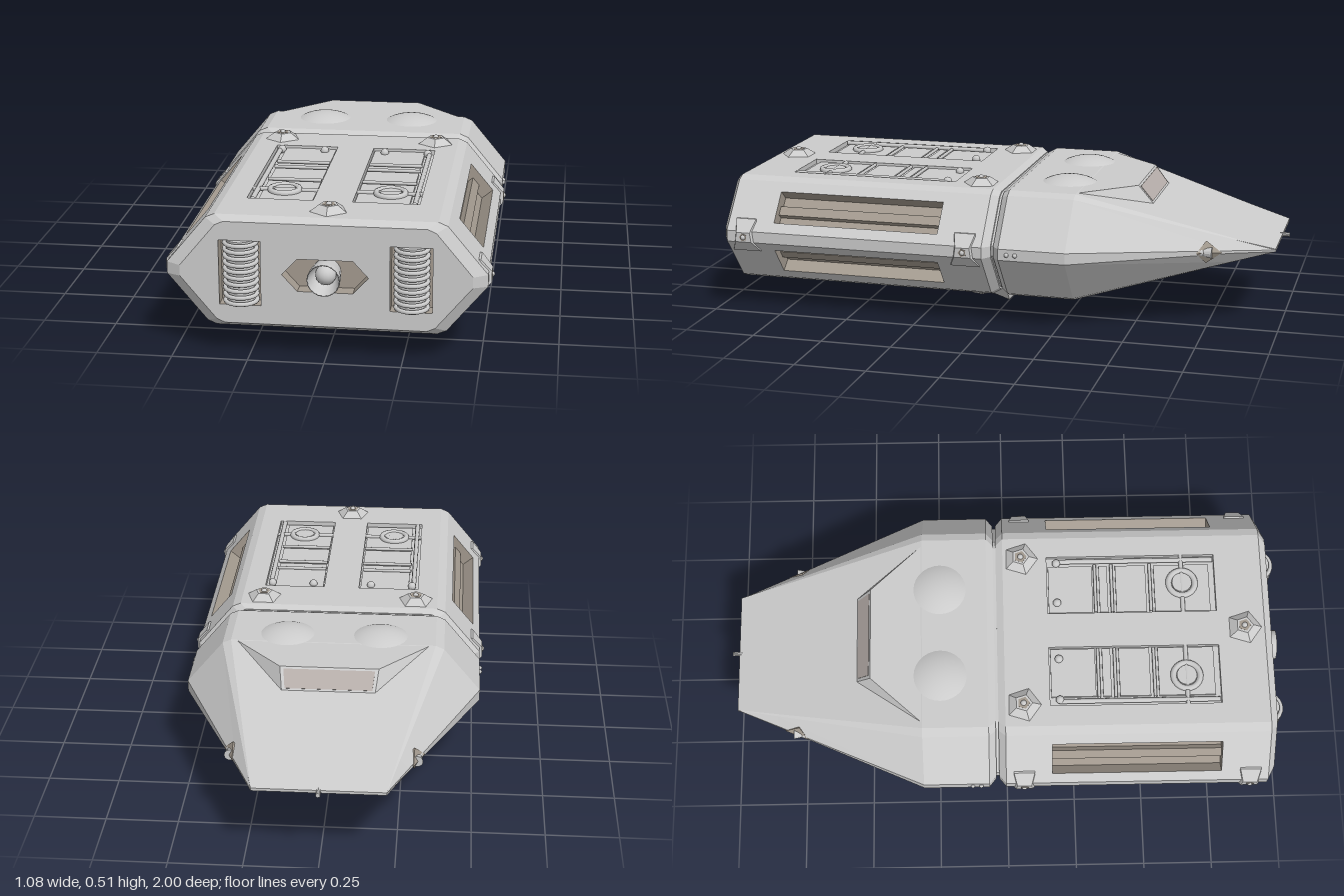
import * as THREE from 'three';
import { ConvexGeometry } from 'three/addons/geometries/ConvexGeometry.js';

const hull = new THREE.MeshStandardMaterial({ color: 0xcccccc, flatShading: true });
const smooth = new THREE.MeshStandardMaterial({ color: 0xcccccc, side: THREE.DoubleSide });
const tan = new THREE.MeshStandardMaterial({ color: 0xa39a8f, flatShading: true });
const glass = new THREE.MeshStandardMaterial({ color: 0xb8b0ac, flatShading: true });
const V = (x, y, z) => new THREE.Vector3(x, y, z);
const MID = 0.285, Z0 = -0.005, Z1 = 0.935;

function add(parent, name, geo, mat, x = 0, y = 0, z = 0) {
  const m = new THREE.Mesh(geo, mat);
  m.name = name;
  m.position.set(x, y, z);
  parent.add(m);
  return m;
}
const box = (p, name, mat, x, y, z, w, h, d) => add(p, name, new THREE.BoxGeometry(w, h, d), mat, x, y, z);

// Group whose local x, y lie on a surface and whose local z points out of it
function frame(parent, name, origin, u, v) {
  const g = new THREE.Group();
  g.name = name;
  u.normalize(); v.normalize();
  g.applyMatrix4(new THREE.Matrix4().makeBasis(u, v, u.clone().cross(v)).setPosition(origin));
  parent.add(g);
  return g;
}

const rect = (x0, x1, y0, y1) => [[x0, y0], [x1, y0], [x1, y1], [x0, y1]];
const toPts = a => a.map(p => new THREE.Vector2(...p));

// Flat plate with openings, its outer face at local z = 0
function plate(parent, name, outline, holes, depth, wall = hull) {
  const s = new THREE.Shape(toPts(outline));
  holes.forEach(h => s.holes.push(new THREE.Path(toPts(h))));
  const geo = new THREE.ExtrudeGeometry(s, { depth, bevelEnabled: false });
  return add(parent, name, geo.translate(0, 0, -depth), [hull, wall]);
}

// Twelve-point hull section: a hexagon with chamfered corners
function section(z, sx = 0.52, tx = 0.38, top = 0.475, bot = 0.095, scale = 1) {
  const k = (top - bot) / 0.38;
  const up = [[sx, MID + 0.02 * k], [tx + 0.01 * k, top - 0.013 * k], [tx - 0.02 * k, top]];
  const low = [[tx - 0.02 * k, bot], [tx + 0.01 * k, bot + 0.013 * k], [sx, MID - 0.02 * k]];
  const flip = a => a.map(([x, y]) => [-x, y]).reverse();
  const ring = [low[2], ...up, ...flip(up), ...flip(low), low[0], low[1]];
  return ring.map(([x, y]) => V(x * scale, MID + (y - MID) * scale, z));
}

function loft(rings, keep = () => true) {
  const pts = [], n = 12;
  for (let r = 0; r < rings.length - 1; r++) for (let i = 0; i < n; i++) {
    if (!keep(r, i)) continue;
    const a = rings[r], b = rings[r + 1], j = (i + 1) % n;
    pts.push(a[i], a[j], b[j], a[i], b[j], b[i]);
  }
  const first = rings[0], last = rings[rings.length - 1];
  for (let i = 1; i < n - 1; i++) {
    pts.push(first[0], first[i + 1], first[i]);
    if (keep(rings.length, i)) pts.push(last[0], last[i], last[i + 1]);
  }
  const g = new THREE.BufferGeometry().setFromPoints(pts);
  g.computeVertexNormals();
  return g;
}

// Five-sided thruster blister with a ball in its socket
function blister(parent, x, y) {
  const g = new THREE.Group();
  g.name = 'thrusterBlister';
  g.position.set(x, y, 0);
  parent.add(g);
  add(g, 'blister', new THREE.CylinderGeometry(0.032, 0.064, 0.022, 5).rotateX(Math.PI / 2), hull, 0, 0, 0.011);
  add(g, 'socket', new THREE.CylinderGeometry(0.023, 0.023, 0.003, 5).rotateX(Math.PI / 2), tan, 0, 0, 0.0215);
  add(g, 'ball', new THREE.SphereGeometry(0.011, 12, 8), smooth, 0, 0, 0.02);
}

const rod = (p, name, x0, y0, x1, y1, z, r) =>
  add(p, name, new THREE.TubeGeometry(new THREE.LineCurve3(V(x0, y0, z), V(x1, y1, z)), 1, r, 8), smooth);

// Equipment bay sunk into the roof
function roofBay(roof, s) {
  const g = new THREE.Group();
  g.name = 'roofBay';
  g.scale.x = s;
  roof.add(g);
  box(g, 'bayFloor', hull, 0.175, -0.46, -0.022, 0.24, 0.63, 0.01);
  for (const [z, h] of [[0.24, 0.16], [0.36, 0.03], [0.46, 0.11], [0.645, 0.2]])
    box(g, 'bayPanel', hull, 0.16, -z, -0.013, 0.18, h, 0.01);
  for (const z of [0.33, 0.39, 0.53]) rod(g, 'crossPipe', 0.07, -z, 0.255, -z, -0.007, 0.006);
  rod(g, 'longPipe', 0.268, -0.19, 0.268, -0.76, -0.006, 0.009);
  rod(g, 'valvePipe', 0.065, -0.645, 0.285, -0.645, -0.006, 0.008);
  add(g, 'valveRing', new THREE.TorusGeometry(0.048, 0.011, 8, 24), smooth, 0.178, -0.645, -0.005);
  add(g, 'valveCap', new THREE.CylinderGeometry(0.036, 0.036, 0.015, 20).rotateX(Math.PI / 2), hull, 0.178, -0.645, -0.007);
  for (const x of [0.262, 0.108]) add(g, 'ball', new THREE.SphereGeometry(0.015, 12, 8), smooth, x, -0.19, -0.004);
}

// Parts that occur on both flanks
function flank(parent, s) {
  const g = new THREE.Group();
  g.name = s > 0 ? 'leftFlank' : 'rightFlank';
  g.scale.x = s;
  parent.add(g);
  const L = Math.hypot(0.13, 0.157);
  for (const up of [true, false]) {
    const f = up ? frame(g, 'upperSide', V(0.52, 0.305, 0), V(0, 0, -1), V(-0.13, 0.157, 0))
      : frame(g, 'lowerSide', V(0.39, 0.108, 0), V(0, 0, -1), V(0.13, 0.157, 0));
    const slot = rect(-0.765, -0.16, 0.04, 0.164);
    plate(f, 'sidePlate', rect(-Z1, -Z0, 0, L), [slot], 0.05, tan);
    box(f, 'ventFloor', tan, -0.4625, 0.102, -0.055, 0.63, 0.15, 0.01);
    box(f, 'ventRib', tan, -0.4625, 0.102, -0.04, 0.605, 0.035, 0.025);
  }
  // Edge blisters
  for (const z of [0.06, 0.87]) {
    const pts = [];
    for (const d of [-1, 1]) pts.push(V(0.53, 0.302, z + d * 0.025), V(0.53, 0.268, z + d * 0.03),
      V(0.494, 0.345, z + d * 0.037), V(0.494, 0.228, z + d * 0.052), V(0.45, 0.345, z + d * 0.037), V(0.45, 0.228, z + d * 0.052));
    add(g, 'edgeBlister', new ConvexGeometry(pts), hull);
    add(g, 'edgeSocket', new THREE.CylinderGeometry(0.015, 0.015, 0.004, 5).rotateZ(Math.PI / 2), tan, 0.53, MID, z);
    add(g, 'edgeBall', new THREE.SphereGeometry(0.01, 12, 8), smooth, 0.528, MID, z);
  }
  for (const z of [-0.095, -0.125]) add(g, 'sideStud', new THREE.SphereGeometry(0.008, 10, 8), smooth, 0.521, MID, z);
  // Nose steering jet
  add(g, 'jetSocket', new ConvexGeometry([V(0.337, MID, -0.72), V(0.301, MID, -0.805), V(0.303, 0.325, -0.75),
    V(0.303, 0.245, -0.75), V(0.25, MID, -0.76)]), tan);
  add(g, 'steeringJet', new THREE.CylinderGeometry(0.012, 0.02, 0.04, 12).rotateX(Math.PI / 2), hull, 0.312, MID, -0.752);
  add(g, 'jetBall', new THREE.SphereGeometry(0.014, 12, 8), smooth, 0.316, MID, -0.735);
  // Roof dome
  const R = 0.216;
  add(g, 'roofDome', new THREE.SphereGeometry(R, 28, 6, 0, Math.PI * 2, 0, Math.asin(0.095 / R)), smooth, 0.165, 0.497 - R, -0.235);
}

function rearFace(ship) {
  const f = frame(ship, 'rear', V(0, 0, 0.96), V(1, 0, 0), V(0, 1, 0));
  const outline = section(0, 0.52, 0.38, 0.475, 0.095, 0.91).map(p => [p.x, p.y]);
  const hex = [[-0.14, MID], [-0.09, 0.23], [0.09, 0.23], [0.14, MID], [0.09, 0.34], [-0.09, 0.34]];
  const bays = [-1, 1].map(s => rect(s * 0.277 - 0.068, s * 0.277 + 0.068, 0.175, 0.395));
  plate(f, 'rearPlate', outline, [hex, ...bays], 0.05, tan);
  box(f, 'rearFloor', tan, 0, MID, -0.055, 0.72, 0.25, 0.01);
  for (const s of [-1, 1]) {
    add(f, 'coilCore', new THREE.CylinderGeometry(0.045, 0.045, 0.22, 20), smooth, s * 0.277, MID, -0.025);
    for (let i = 0; i < 10; i++)
      add(f, 'coilRing', new THREE.TorusGeometry(0.052, 0.0075, 8, 24).rotateX(Math.PI / 2), smooth, s * 0.277, 0.186 + i * 0.022, -0.025);
  }
  const bell = toPts([[0.012, -0.04], [0.035, -0.025], [0.046, 0.01], [0.05, 0.038], [0.054, 0.038], [0.052, 0.005], [0.045, -0.05]]);
  add(f, 'engineBell', new THREE.LatheGeometry(bell, 20).rotateX(Math.PI / 2), smooth, 0, MID, 0);
  add(f, 'engineCore', new THREE.SphereGeometry(0.034, 16, 12), smooth, 0, MID, -0.02);
}

function belly(ship) {
  const f = frame(ship, 'belly', V(0, 0.095, 0), V(1, 0, 0), V(0, 0, 1));
  const wells = [-1, 1].map(s => rect(s * 0.24 - 0.045, s * 0.24 + 0.045, 0.7, 0.89));
  plate(f, 'bellyPlate', rect(-0.36, 0.36, Z0, Z1), wells, 0.04, tan);
  for (const s of [-1, 1]) {
    box(f, 'wellFloor', tan, s * 0.24, 0.795, -0.045, 0.11, 0.21, 0.01);
    // Raised ribs branching from the hexagon
    const path = [[0.14, 0.6], [0.23, 0.6], [0.28, 0.54], [0.28, 0.24], [0.22, 0.17]];
    for (let i = 0; i < 4; i++) rod(f, 'bellyRib', s * path[i][0], path[i][1], s * path[i + 1][0], path[i + 1][1], 0, 0.006);
    blister(f, s * 0.28, 0.06);
  }
  blister(f, 0, 0.86);
  add(f, 'bellyHexagon', new THREE.TorusGeometry(0.14, 0.007, 6, 6), hull, 0, 0.6, 0);
  box(f, 'noseWell', tan, 0, -0.16, 0, 0.1, 0.15, 0.003);
  // Belly scoop
  const pts = [];
  for (const s of [-1, 1]) pts.push(V(s * 0.2, 0.1, 0), V(s * 0.12, 0, 0), V(s * 0.12, 0.1, 0.3));
  add(ship, 'bellyScoop', new ConvexGeometry(pts), hull);
  const mouth = new THREE.Shape(toPts([[-0.1, 0.015], [0.1, 0.015], [0.155, 0.08], [-0.155, 0.08]]));
  add(ship, 'scoopMouth', new THREE.ExtrudeGeometry(mouth, { depth: 0.004, bevelEnabled: false }), tan, 0, 0, -0.002);
}

export function createModel() {
  const ship = new THREE.Group();
  ship.name = 'spacecraft';
  const std = (z, scale = 1) => section(z, 0.52, 0.38, 0.475, 0.095, scale);

  // Main body shell; its broad faces are filled by plates
  add(ship, 'bodyShell', loft([std(-0.03, 0.94), std(Z0), std(Z1), std(0.96, 0.91)],
    (r, i) => r < 4 && !(r === 1 && i % 2 === 1)), hull);
  add(ship, 'neck', loft([std(-0.06, 0.92), std(-0.01, 0.92)]), hull);
  add(ship, 'noseHull', loft([section(-0.98, 0.22, 0.22, 0.289, 0.279), section(-0.83, 0.285, 0.255, 0.328, 0.239),
    std(-0.3), std(-0.065), std(-0.04, 0.94)]), hull);
  add(ship, 'noseProbe', new THREE.CylinderGeometry(0.008, 0.008, 0.04, 10).rotateX(Math.PI / 2), hull, 0, MID, -0.985);

  const roof = frame(ship, 'roof', V(0, 0.475, 0), V(1, 0, 0), V(0, 0, -1));
  plate(roof, 'roofPlate', rect(-0.36, 0.36, -Z1, -Z0),
    [-1, 1].map(s => rect(s * 0.175 - 0.11, s * 0.175 + 0.11, -0.765, -0.155)), 0.02);
  for (const s of [-1, 1]) {
    roofBay(roof, s);
    flank(ship, s);
    blister(roof, s * 0.28, -0.06);
  }
  blister(roof, 0, -0.86);
  rearFace(ship);
  belly(ship);

  // Cockpit canopy and window
  const pts = [];
  for (const s of [-1, 1]) pts.push(V(s * 0.34, 0.474, -0.3), V(s * 0.17, 0.474, -0.485), V(s * 0.16, 0.408, -0.538), V(s * 0.3, 0.35, -0.25));
  add(ship, 'canopy', new ConvexGeometry(pts), hull);
  const w = frame(ship, 'cockpit', V(0, 0.441, -0.5115), V(-1, 0, 0), V(0, 0.066, 0.053));
  const pane = new THREE.Shape(toPts([[-0.15, -0.034], [0.15, -0.034], [0.157, 0.034], [-0.157, 0.034]]));
  add(w, 'window', new THREE.ExtrudeGeometry(pane, { depth: 0.004, bevelEnabled: false }), glass, 0, 0, -0.002);
  return ship;
}
